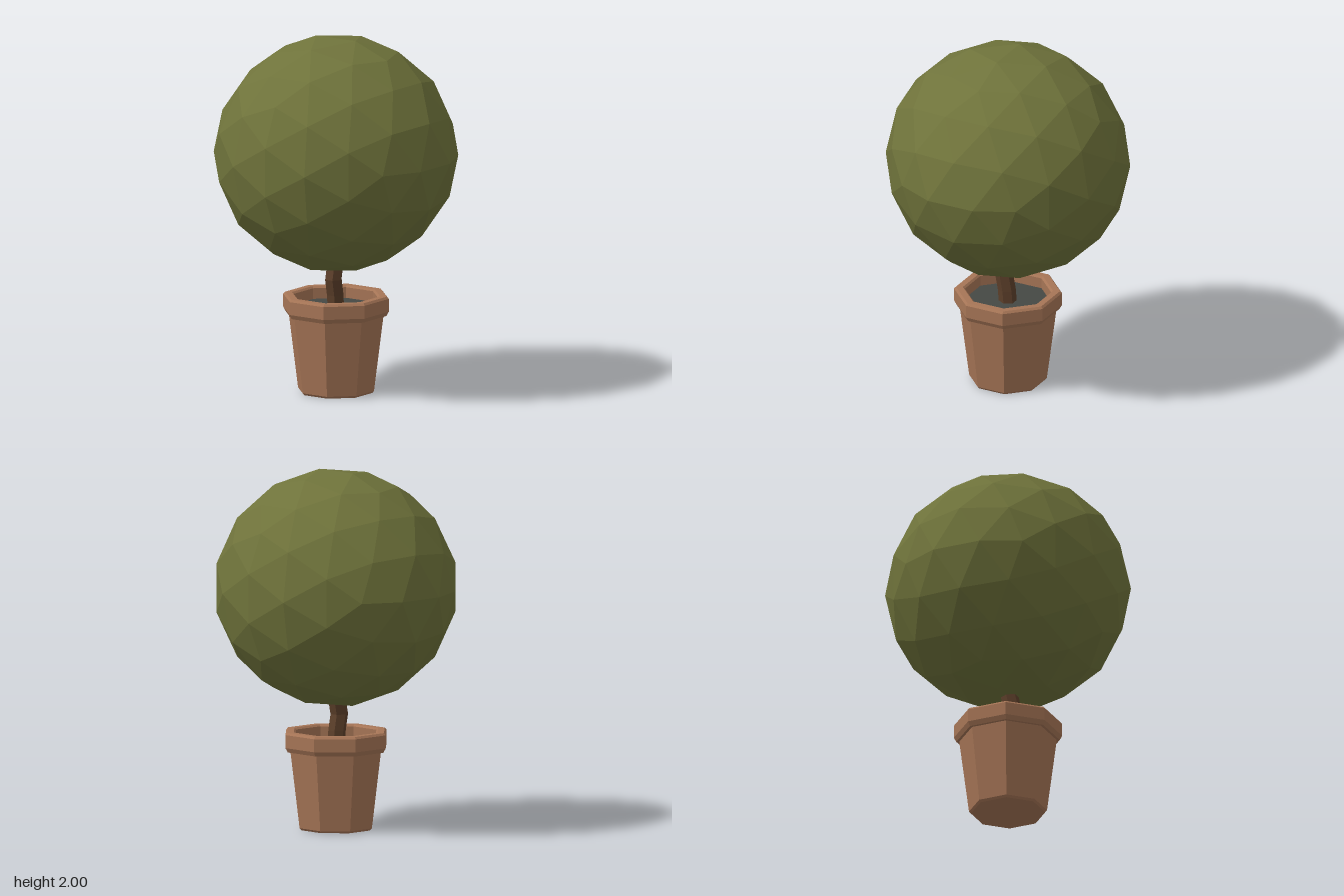
import * as THREE from 'three';

const foliageMat = new THREE.MeshStandardMaterial({ color: 0x6f733b });
const potMat = new THREE.MeshStandardMaterial({ color: 0xa67556 });
const trunkMat = new THREE.MeshStandardMaterial({ color: 0x5c3f2a });
const soilMat = new THREE.MeshStandardMaterial({ color: 0x454844 });
foliageMat.name = 'foliage green';
potMat.name = 'terracotta';
trunkMat.name = 'bark brown';
soilMat.name = 'soil grey';

// Faceted mesh: every face gets its own normals
function facetedMesh(name, geometry, material) {
  const g = geometry.index ? geometry.toNonIndexed() : geometry;
  g.computeVertexNormals();
  const mesh = new THREE.Mesh(g, material);
  mesh.name = name;
  return mesh;
}

// Octagonal lathe with flat sides facing the axes; profile is [apothem, y]
function octagon(profile) {
  const k = 1 / Math.cos(Math.PI / 8);
  const points = profile.map(([a, y]) => new THREE.Vector2(a * k, y));
  return new THREE.LatheGeometry(points, 8, Math.PI / 8);
}

// Clipped ball of leaves, slightly fuller at the sides
function foliageGeometry() {
  const g = new THREE.IcosahedronGeometry(1, 2);
  const p = g.attributes.position;
  const v = new THREE.Vector3();
  for (let i = 0; i < p.count; i++) {
    v.fromBufferAttribute(p, i).normalize();
    v.multiplyScalar(0.664 + 0.035 * v.x ** 8 + 0.022 * v.z * v.z);
    p.setXYZ(i, v.x, v.y + 1.35, v.z);
  }
  return g;
}

// Six-sided stem made of rings that bend forward and back
function trunkGeometry() {
  const rings = [[0.46, 0], [0.55, 0.008], [0.64, 0.025], [0.85, -0.02]];
  const g = new THREE.CylinderGeometry(0.05, 0.05, 1, 6, rings.length - 1, true, Math.PI / 6 * 3);
  const p = g.attributes.position;
  for (let i = 0; i < p.count; i++) {
    const [y, z] = rings[Math.round((p.getY(i) + 0.5) * (rings.length - 1))];
    p.setXYZ(i, p.getX(i), y, p.getZ(i) + z);
  }
  return g;
}

export function createModel() {
  const model = new THREE.Group();
  model.name = 'pottedTopiary';

  // Tapered body with a chamfered foot
  const body = [[0, 0], [0.19, 0], [0.2, 0.012], [0.25, 0.44]];
  // Collar, chamfered above and below, with an inner wall down to the soil
  const rim = [[0.25, 0.44], [0.265, 0.44], [0.278, 0.465], [0.278, 0.538],
    [0.268, 0.55], [0.232, 0.55], [0.222, 0.54], [0.222, 0.46]];

  model.add(
    facetedMesh('potBody', octagon(body), potMat),
    facetedMesh('potRim', octagon(rim), potMat),
    facetedMesh('soil', octagon([[0.224, 0.48], [0, 0.48]]), soilMat),
    facetedMesh('trunk', trunkGeometry(), trunkMat),
    facetedMesh('foliage', foliageGeometry(), foliageMat)
  );
  return model;
}
